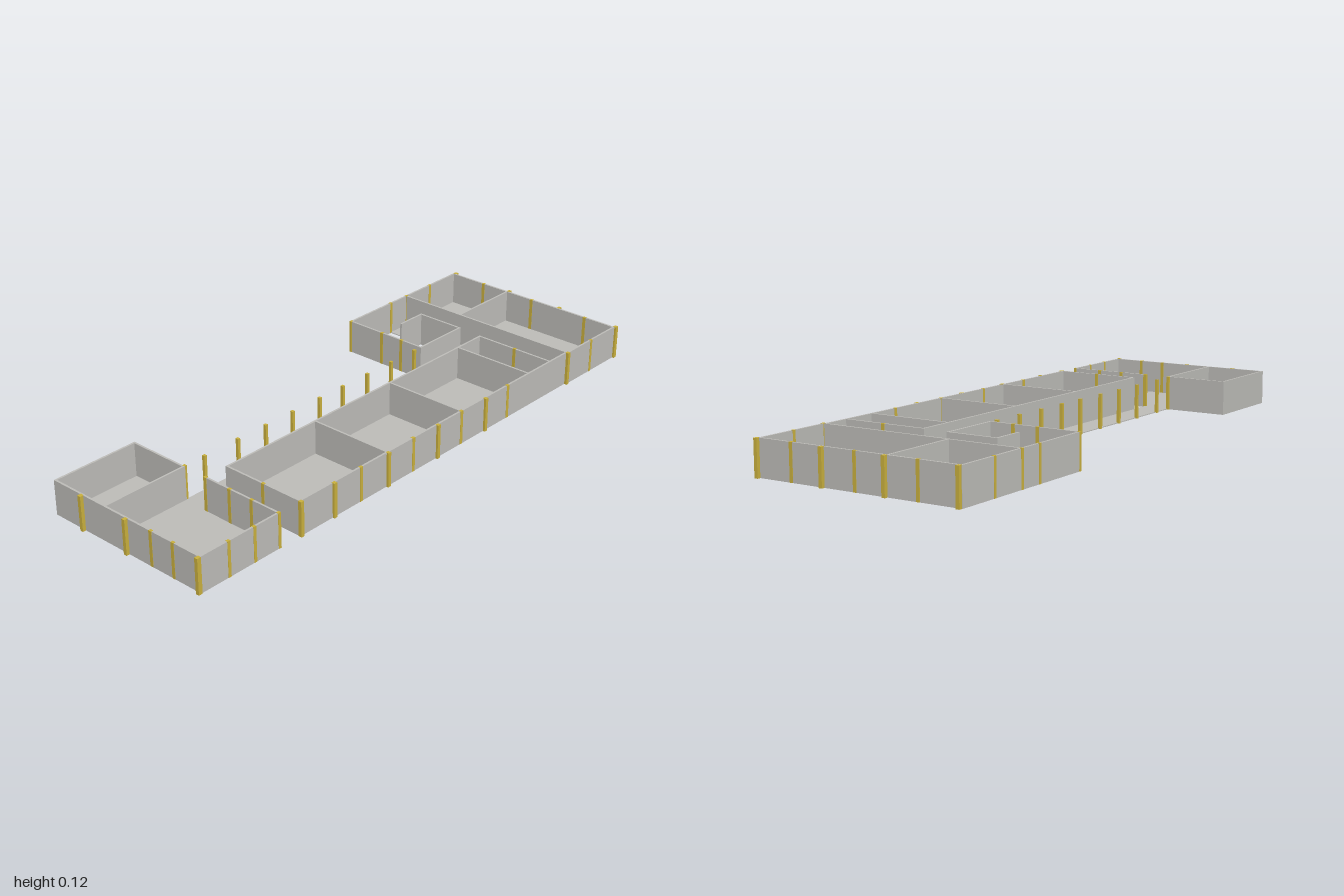
import * as THREE from 'three';

const H = 0.117; // height of walls and columns
const T = 0.007; // wall thickness

export function createModel() {
  const model = new THREE.Group();
  const grey = new THREE.MeshStandardMaterial({ name: 'concrete grey', color: 0xbdbcb8 });
  const yellow = new THREE.MeshStandardMaterial({ name: 'column yellow', color: 0xc9b03e });

  const box = (parent, name, mat, x0, x1, y0, y1, z0, z1) => {
    const m = new THREE.Mesh(new THREE.BoxGeometry(x1 - x0, y1 - y0, z1 - z0), mat);
    m.position.set((x0 + x1) / 2, (y0 + y1) / 2, (z0 + z1) / 2);
    m.name = name;
    parent.add(m);
  };
  const group = (name) => {
    const g = new THREE.Group();
    g.name = name;
    model.add(g);
    return g;
  };

  // Floor slab: one outline with notches around the wings
  const outline = [
    [-0.985, -0.262], [-0.682, -0.262], [-0.682, -0.045], [0.622, -0.045], [0.622, -0.36], [0.985, -0.36],
    [0.985, 0.348], [-0.595, 0.348], [-0.595, 0.05], [-0.682, 0.05], [-0.682, 0.345], [-0.985, 0.345],
  ];
  const shape = new THREE.Shape(outline.map(([x, z]) => new THREE.Vector2(x, -z)));
  const slab = new THREE.ExtrudeGeometry(shape, { depth: 0.003, bevelEnabled: false });
  slab.rotateX(-Math.PI / 2);
  const floor = new THREE.Mesh(slab, grey);
  floor.name = 'floor';
  model.add(floor);

  // Walls running along x: [z, x start, x end]
  const walls = group('walls');
  const alongX = [
    [-0.262, -0.985, -0.682], [-0.045, -0.985, -0.682], [0.345, -0.985, -0.682], // left wing
    [0.05, -0.595, 0.615], [0.345, -0.595, 0.71], // classrooms
    [-0.36, 0.412, 0.985], [-0.112, 0.71, 0.985], [0.35, 0.71, 0.985], // right wing
    [-0.045, 0.412, 0.622], [-0.217, 0.515, 0.622], // stair room
  ];
  for (const [z, a, b] of alongX)
    box(walls, 'wallAlongX', grey, a - T / 2, b + T / 2, 0, H, z - T / 2, z + T / 2);

  // Walls running along z: [x, z start, z end]
  const alongZ = [
    [-0.985, -0.262, 0.345], [-0.682, -0.262, -0.045], [-0.682, 0.05, 0.345],
    [-0.595, 0.05, 0.345], [-0.215, 0.05, 0.345], [0.14, 0.05, 0.345], [0.495, 0.05, 0.345], [0.615, 0.05, 0.345],
    [0.71, -0.36, 0.35], [0.985, -0.36, 0.35],
    [0.412, -0.36, -0.045], [0.622, -0.217, -0.045],
  ];
  for (const [x, a, b] of alongZ)
    box(walls, 'wallAlongZ', grey, x - T / 2, x + T / 2, 0, H, a - T / 2, b + T / 2);

  // Columns, standing free or set into the walls
  const columns = group('columns');
  const column = (x, z, w = 0.012, d = 0.012) =>
    box(columns, 'column', yellow, x - w / 2, x + w / 2, 0, H + 0.0005, z - d / 2, z + d / 2);
  const FLUSH = T + 0.002;

  // Open back side of the corridor
  for (const x of [-0.676, -0.595, -0.455, -0.335, -0.215, -0.09, 0.02, 0.14, 0.26, 0.38]) column(x, -0.047, 0.01, 0.01);
  // Classroom front
  for (const x of [-0.595, -0.455, -0.215, 0.02, 0.26]) column(x, 0.35);
  for (const x of [-0.335, -0.095, 0.14, 0.38]) column(x, 0.345, 0.012, FLUSH);
  // Left wing front
  for (const x of [-0.88, -0.78, -0.682]) column(x, 0.345, 0.011, FLUSH);
  // Left wing sides
  for (const z of [-0.14, 0.05, 0.345]) column(-0.993, z, 0.014);
  for (const z of [0.15, 0.24]) {
    column(-0.985, z, FLUSH);
    column(-0.682, z, FLUSH);
  }
  column(-0.682, 0.05, FLUSH);
  // Classroom end walls
  for (const x of [-0.595, 0.615]) column(x, 0.2, FLUSH);
  // Right wing outer side
  for (const z of [-0.356, -0.108, 0.114, 0.354]) column(0.993, z, 0.014);
  for (const z of [-0.218, 0, 0.23]) column(0.985, z, FLUSH);
  // Right wing front and back
  column(0.71, 0.352);
  column(0.845, 0.35, 0.011, FLUSH);
  for (const x of [0.412, 0.622, 0.71, 0.84]) column(x, -0.36, 0.011, FLUSH);
  // Stair room side
  for (const z of [-0.217, -0.13]) column(0.412, z, FLUSH);

  return model;
}
